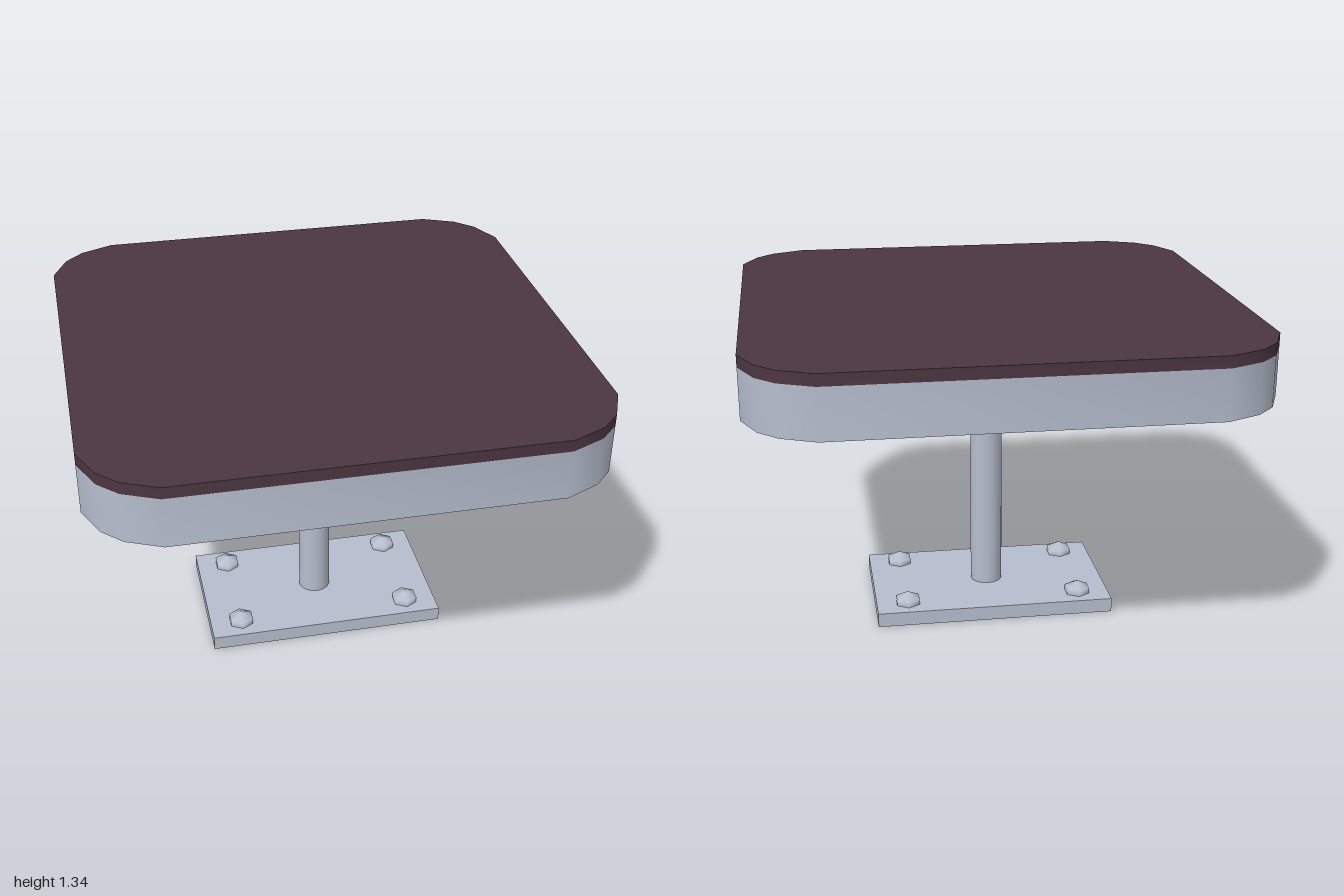
import * as THREE from 'three';
import { toCreasedNormals } from 'three/addons/utils/BufferGeometryUtils.js';

export function createModel() {
  const model = new THREE.Group();
  model.name = 'pedestalSeat';

  const metal = new THREE.MeshStandardMaterial({ name: 'light steel', color: 0xb6bece });
  const vinyl = new THREE.MeshStandardMaterial({ name: 'dark maroon', color: 0x4c3641 });

  const add = (name, geometry, material, x = 0, y = 0, z = 0) => {
    const mesh = new THREE.Mesh(geometry, material);
    mesh.name = name;
    mesh.position.set(x, y, z);
    model.add(mesh);
    return mesh;
  };

  // Square outline with each corner cut by three facets
  const corner = [[1, 0.73], [0.94, 0.865], [0.865, 0.94], [0.73, 1]];
  const outline = [];
  for (let i = 0; i < 4; i++) {
    for (const [x, y] of corner) {
      outline.push(new THREE.Vector2(x, y).rotateAround(new THREE.Vector2(), i * Math.PI / 2));
    }
  }
  const slab = (height) => {
    const geometry = new THREE.ExtrudeGeometry(new THREE.Shape(outline), { depth: height, bevelEnabled: false });
    geometry.rotateX(-Math.PI / 2);
    return toCreasedNormals(geometry, 0.65);
  };

  // Seat: metal body with a thin coloured pad
  add('seatBody', slab(0.2), metal, 0, 1.09, 0);
  add('seatPad', slab(0.047), vinyl, 0, 1.29, 0);

  // Support: mounting plate, post and base plate
  add('mountingPlate', new THREE.BoxGeometry(0.54, 0.043, 0.645), metal, 0, 1.0685, 0);
  add('post', new THREE.CylinderGeometry(0.068, 0.068, 0.987, 16, 1, true), metal, 0, 0.5535, 0);
  add('basePlate', new THREE.BoxGeometry(1, 0.06, 0.6), metal, 0, 0.03, 0);

  // Six-sided bolts with pointed heads, one near each base corner
  const boltProfile = [[0.055, 0], [0.055, 0.024], [0, 0.052]].map(([r, y]) => new THREE.Vector2(r, y));
  const boltGeometry = new THREE.LatheGeometry(boltProfile, 6);
  for (const x of [-0.367, 0.367]) {
    for (const z of [-0.207, 0.207]) add('bolt', boltGeometry, metal, x, 0.06, z);
  }

  return model;
}
